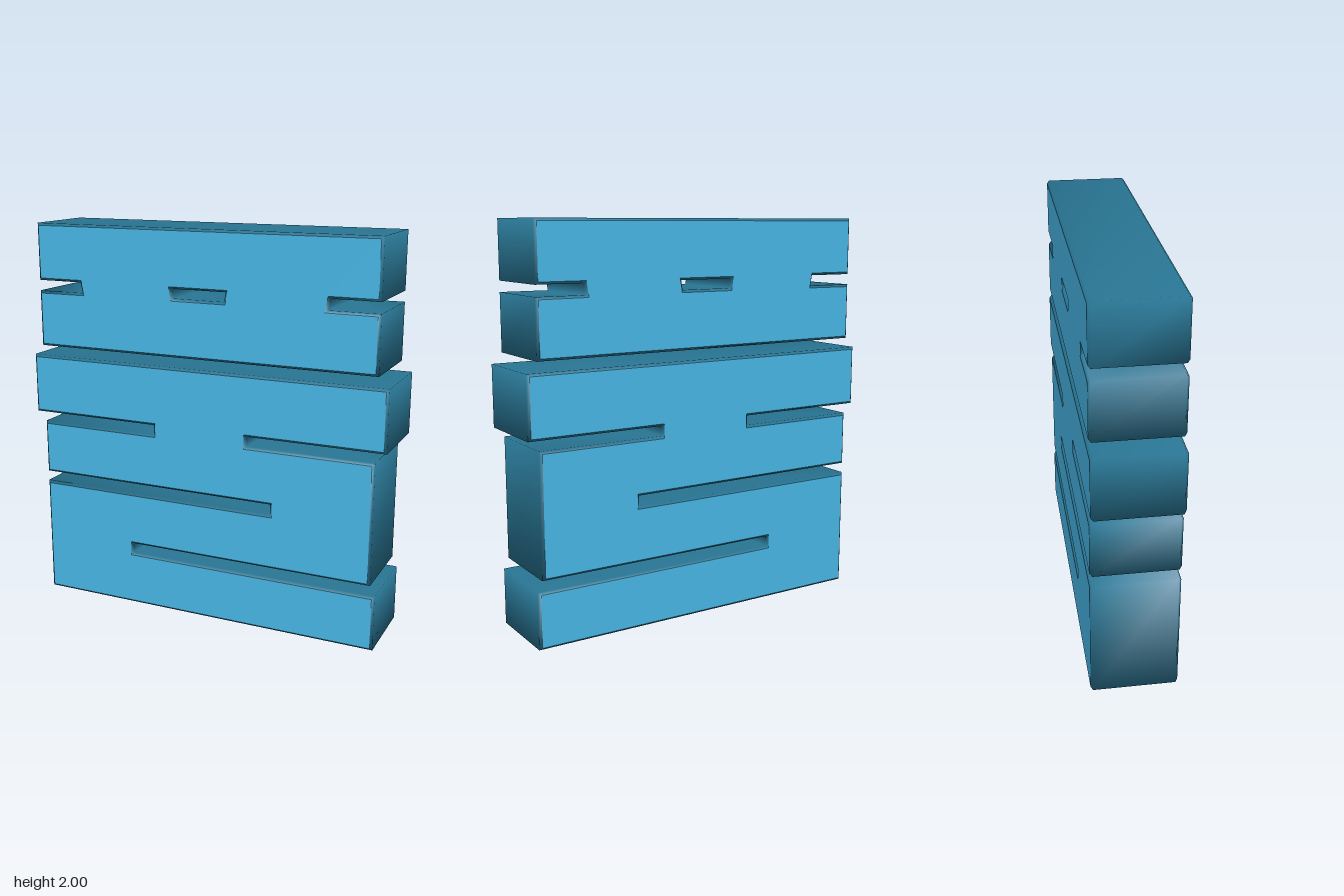
import * as THREE from 'three';
import { mergeVertices } from 'three/addons/utils/BufferGeometryUtils.js';

const HALF_DEPTH = 0.213, BEVEL = 0.012;

// Copies one group of a geometry into a geometry of its own
function extractGroup(geometry, { start, count }) {
  const corners = geometry.attributes.position.array.slice(start * 3, (start + count) * 3);
  return new THREE.BufferGeometry().setAttribute('position', new THREE.BufferAttribute(corners, 3));
}

// Thick plate cut from an outline: flat light faces, smooth-shaded dark edges
function slab(name, outline, holes, faceMaterial, edgeMaterial) {
  const toPoints = (list) => list.map(([x, y]) => new THREE.Vector2(x, y));
  const shape = new THREE.Shape(toPoints(outline));
  for (const hole of holes) shape.holes.push(new THREE.Path(toPoints(hole)));
  const solid = new THREE.ExtrudeGeometry(shape, {
    depth: 2 * (HALF_DEPTH - BEVEL), bevelEnabled: true, bevelSegments: 1,
    bevelThickness: BEVEL, bevelSize: BEVEL, bevelOffset: -BEVEL,
  });
  solid.translate(0, 0, BEVEL - HALF_DEPTH);

  const faceGeometry = extractGroup(solid, solid.groups[0]);
  const edgeGeometry = mergeVertices(extractGroup(solid, solid.groups[1]));
  faceGeometry.computeVertexNormals();
  edgeGeometry.computeVertexNormals();

  const faces = new THREE.Mesh(faceGeometry, faceMaterial);
  const edges = new THREE.Mesh(edgeGeometry, edgeMaterial);
  faces.name = name + 'Faces';
  edges.name = name + 'Edges';
  const group = new THREE.Group();
  group.name = name;
  group.add(faces, edges);
  return group;
}

export function createModel() {
  const group = new THREE.Group();
  group.name = 'slottedBlocks';
  const lightBlue = new THREE.MeshStandardMaterial({ color: 0x49b8e8 });
  lightBlue.name = 'lightBlue';
  const darkBlue = new THREE.MeshStandardMaterial({ color: 0x287492 });
  darkBlue.name = 'darkBlue';

  // Upper block: a notch in each side and a small slanted window
  group.add(slab('upperBlock', [
    [-0.91, 1.367], [0.907, 1.367], [0.907, 1.655], [0.657, 1.655], [0.667, 1.709],
    [0.907, 1.709], [0.907, 2], [-0.91, 2], [-0.91, 1.709], [-0.665, 1.709],
    [-0.655, 1.655], [-0.91, 1.655],
  ], [
    [[-0.137, 1.66], [-0.145, 1.707], [0.142, 1.707], [0.134, 1.66]],
  ], lightBlue, darkBlue));

  // Lower block: wide top bar on a neck, then two long alternating slots
  group.add(slab('lowerBlock', [
    [-0.91, 0], [0.932, 0], [0.932, 0.285], [-0.387, 0.285], [-0.387, 0.337],
    [0.907, 0.337], [0.907, 0.955], [0.258, 0.955], [0.258, 1.005], [0.96, 1.005],
    [0.96, 1.315], [-0.96, 1.315], [-0.96, 1.005], [-0.257, 1.005], [-0.257, 0.955],
    [-0.91, 0.955], [-0.91, 0.673], [0.385, 0.673], [0.385, 0.62], [-0.91, 0.62],
  ], [], lightBlue, darkBlue));

  return group;
}
